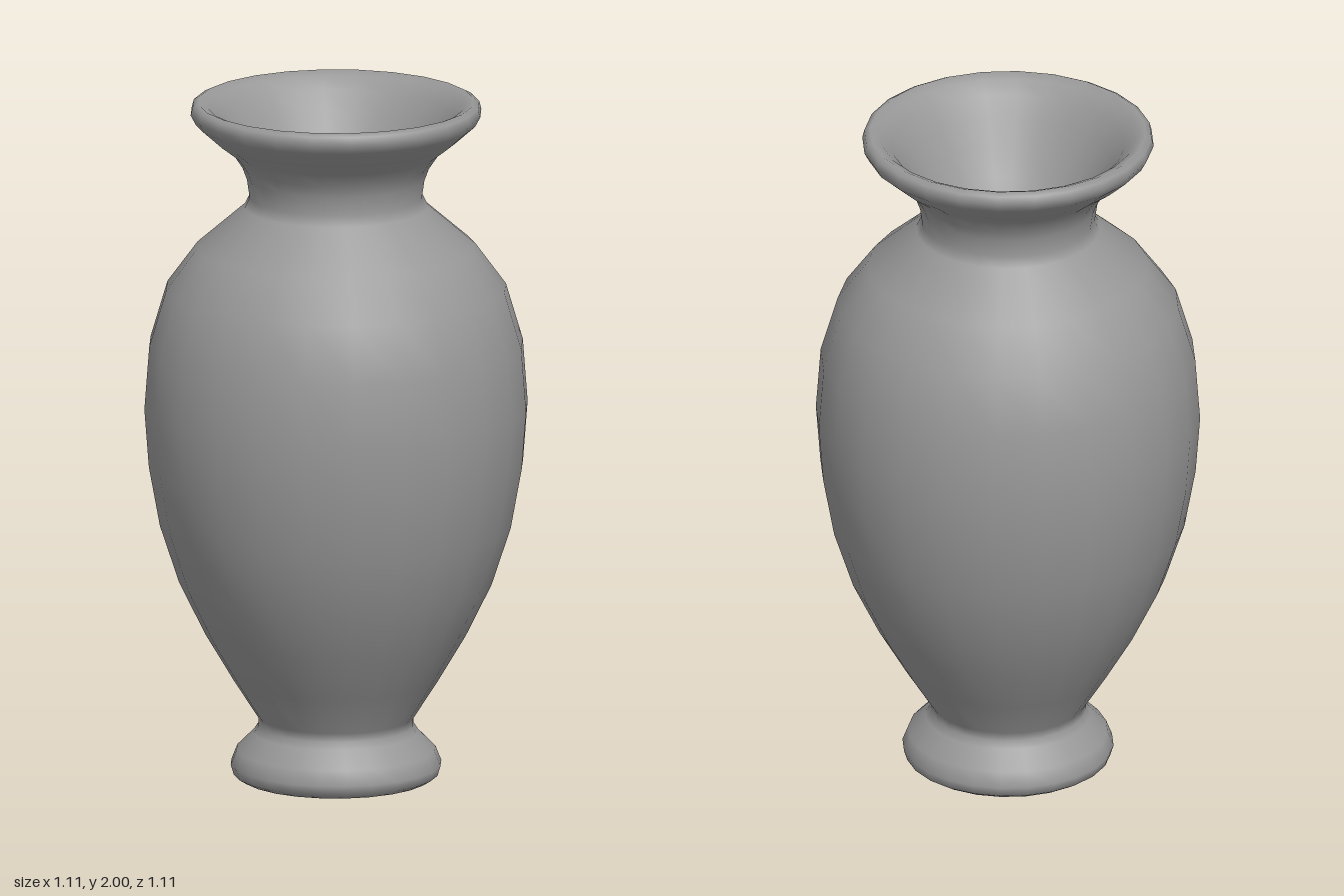
import * as THREE from 'three';

// Profile as [radius, height], from the hollow under the foot, up the outside and into the mouth
const underside = [[0, 0.2], [0.06, 0.188], [0.12, 0.155], [0.175, 0.1], [0.22, 0.045], [0.25, 0.012]];
const foot = [[0.275, 0], [0.296, 0.013], [0.305, 0.042], [0.288, 0.085], [0.238, 0.135], [0.225, 0.155], [0.225, 0.18]];
const body = [[0.298, 0.295], [0.378, 0.43], [0.454, 0.585], [0.51, 0.755], [0.542, 0.93], [0.555, 1.1],
  [0.541, 1.285], [0.492, 1.45], [0.404, 1.57], [0.265, 1.69]];
const neck = [[0.25, 1.72], [0.258, 1.775], [0.271, 1.81], [0.298, 1.85], [0.35, 1.89]];
const rim = [[0.406, 1.94], [0.421, 1.968], [0.415, 1.991], [0.398, 2], [0.37, 1.988], [0.335, 1.956]];
const mouth = [[0.295, 1.9], [0.25, 1.828], [0.2, 1.757], [0.14, 1.69], [0.07, 1.645], [0, 1.63]];

export function createModel() {
  const group = new THREE.Group();
  group.name = 'vase';
  const profile = [...underside, ...foot, ...body, ...neck, ...rim, ...mouth]
    .map(([r, y]) => new THREE.Vector2(r, y));

  // One smooth turned shell with 24 sides
  const shell = new THREE.Mesh(
    new THREE.LatheGeometry(profile, 24),
    new THREE.MeshStandardMaterial({ color: 0x989898 })
  );
  shell.name = 'vaseShell';
  group.add(shell);
  return group;
}
